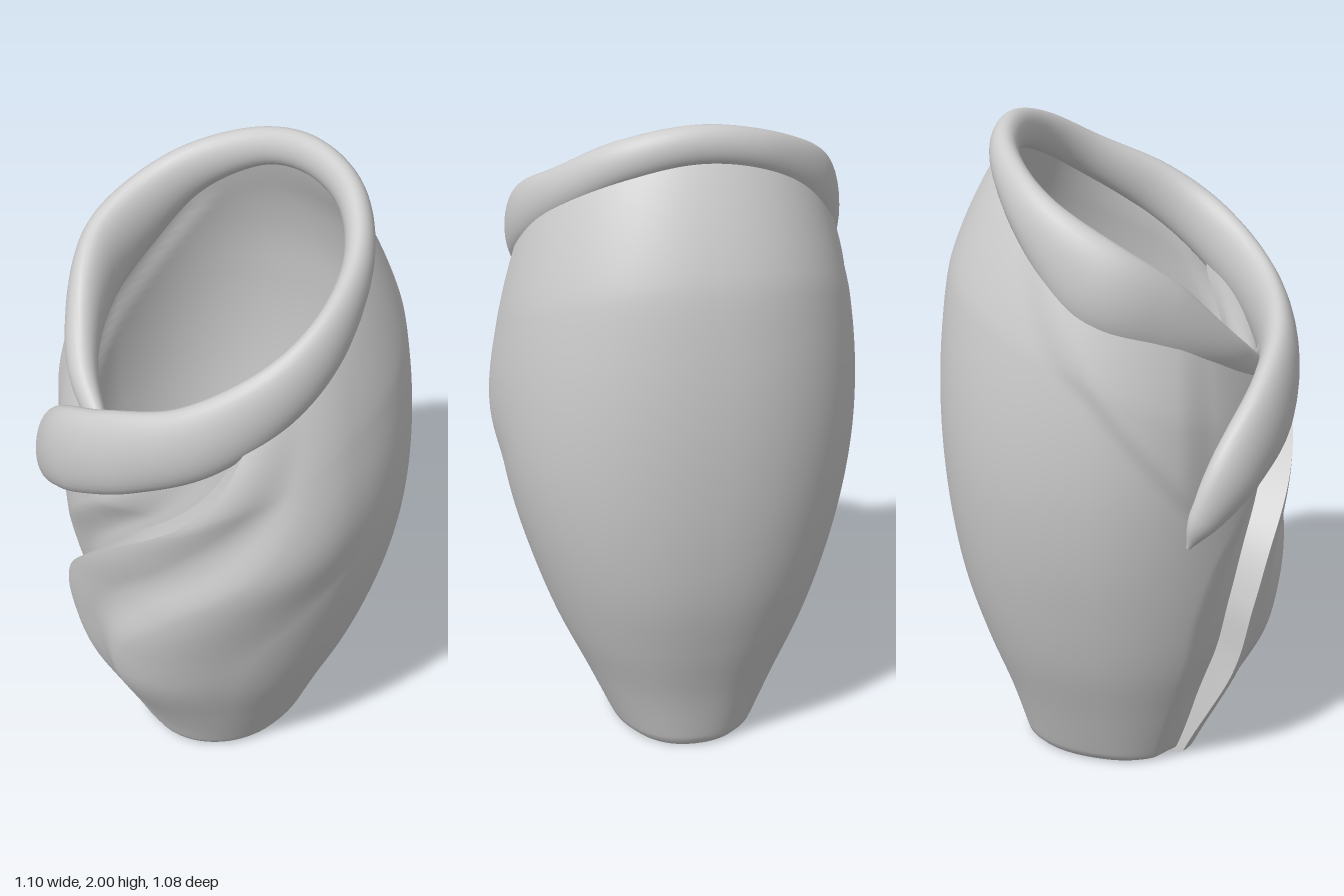
import * as THREE from 'three';
import { mergeVertices } from 'three/addons/utils/BufferGeometryUtils.js';

const TAU = Math.PI * 2;
const V = (x, y, z) => new THREE.Vector3(x, y, z);
const step = (a, b, x) => THREE.MathUtils.smoothstep(x, a, b);
const material = new THREE.MeshStandardMaterial({ color: 0xcccccc, side: THREE.DoubleSide });

// Smooth surface from a rule fn(column 0..1, row 0..1)
function grid(name, cols, rows, fn) {
  const pos = [], index = [];
  for (let i = 0; i <= rows; i++)
    for (let j = 0; j <= cols; j++) pos.push(...fn(j / cols, i / rows).toArray());
  for (let i = 0; i < rows; i++)
    for (let j = 0; j < cols; j++) {
      const a = i * (cols + 1) + j, b = a + cols + 1;
      index.push(a, a + 1, b, a + 1, b + 1, b);
    }
  let geo = new THREE.BufferGeometry();
  geo.setAttribute('position', new THREE.Float32BufferAttribute(pos, 3));
  geo.setIndex(index);
  geo = mergeVertices(geo, 1e-5);
  geo.computeVertexNormals();
  const mesh = new THREE.Mesh(geo, material);
  mesh.name = name;
  return mesh;
}

// Body half-widths (side, front, back) every 0.2 of height
const profile = new THREE.CatmullRomCurve3([
  V(.225, .25, .30), V(.31, .34, .355), V(.395, .42, .425), V(.46, .46, .485),
  V(.51, .472, .52), V(.538, .475, .538), V(.54, .47, .542), V(.52, .45, .53),
  V(.48, .42, .50), V(.42, .38, .43), V(.34, .30, .30),
], false, 'catmullrom');

// Fold lines every 0.2 of height: angle of the sharp fold, angle from it to the soft fold
const folds = new THREE.CatmullRomCurve3([
  V(-.57, .67, 0), V(-.54, .62, 0), V(-.5, .57, 0), V(-.455, .62, 0), V(-.27, .77, 0),
  V(.12, .8, 0), V(.6, .56, 0), V(.97, .36, 0), V(1.25, .25, 0), V(1.4, .2, 0), V(1.5, .2, 0),
], false, 'catmullrom');

const at = (curve, y) => curve.getPoint(THREE.MathUtils.clamp(y / 2, 0, 1));

// Slanted mouth of the vessel, dipping behind the lip at the front
function rim(a) {
  const z = .04 + .37 * Math.cos(a);
  return V(.43 * Math.sin(a), 1.7 - .72 * z - .07 * step(.7, 1, Math.cos(a)), z);
}

// Relief: crests along the sharp and soft folds, a hollow between, a valley before, a raised flap
function relief(s, a, y) {
  const q = TAU - s, w = at(folds, y).y;
  const fade = (.35 + .65 * step(0, .35, y)) * (1 - step(1.25, 1.58, y));
  const softFade = step(.08, .45, y) * (1 - step(.95, 1.4, y));
  const sharp = .045 * (1 - step(0, w * .75, s));
  const soft = .042 * softFade * step(w * .4, w * 1.02, s) * (1 - step(w * 1.02, w + .85, s));
  const valley = -.045 * (1 - step(.08, .42, q));
  const b = Math.atan2(Math.sin(a), Math.cos(a));
  const flap = b < 0 ? .016 * step(0, .1, y - (.95 + .6 * (-b - .95))) * step(.75, 1, -b) : 0;
  return fade * (sharp + valley) + soft + flap;
}

// Point on the wall; columns follow the sharp fold, so the seam of the sheet is the fold
function wall(u, t, inset, blend) {
  const s = u * TAU;
  let y = t * 1.6, a = 0;
  for (let k = 0; k < 14; k++) {
    a = s + at(folds, y).x;
    y = t * rim(a).y;
  }
  const p = at(profile, y), d = relief(s, a, y) - inset;
  // the back is slightly squarer than an ellipse
  const c = Math.cos(a), sn = Math.sin(a), e = c > 0 ? 1 : .9;
  const depth = c > 0 ? p.y : p.z;
  const point = V(
    -.015 * (1 - step(0, 1, y)) + (p.x + d) * Math.sign(sn) * Math.abs(sn) ** e,
    y,
    (depth + d) * Math.sign(c) * Math.abs(c) ** e);
  return point.lerp(rim(a), step(blend, 1, t));
}

const outer = (u, t) => wall(u, t, .012 * (1 - step(0, .012, t)), .82);
const inner = (u, t) => wall(u, 1 - t * .975, .06, .93);

// Rolled lip: centre line, with half thickness and half height of the section
const lipPath = [
  [-.04, 1.27, .43, .02, .04], [-.24, 1.40, .345, .045, .06], [-.385, 1.525, .19, .062, .115],
  [-.442, 1.63, .03, .065, .13], [-.375, 1.79, -.165, .05, .085], [-.2, 1.905, -.295, .043, .06],
  [0, 1.945, -.33, .042, .058], [.2, 1.905, -.295, .043, .06], [.35, 1.805, -.175, .043, .065],
  [.435, 1.685, .02, .045, .085], [.41, 1.56, .2, .05, .1], [.27, 1.42, .37, .055, .115],
  [.05, 1.315, .465, .06, .13], [-.16, 1.215, .475, .06, .13], [-.33, 1.08, .405, .055, .1],
  [-.41, .95, .33, .035, .055], [-.427, .86, .285, .004, .006],
];
const lipLine = new THREE.CatmullRomCurve3(lipPath.map(p => V(p[0], p[1], p[2])), false, 'catmullrom');
const lipSize = new THREE.CatmullRomCurve3(lipPath.map(p => V(p[3], p[4], 0)), false, 'catmullrom');

function lip(u, t) {
  const p = lipLine.getPoint(t), size = lipSize.getPoint(t), tangent = lipLine.getTangent(t);
  const out = V(p.x, 0, p.z);
  out.addScaledVector(tangent, -out.dot(tangent)).normalize();
  const side = tangent.clone().cross(out);
  return p.addScaledVector(out, size.x * Math.cos(u * TAU))
    .addScaledVector(side, size.y * Math.sin(u * TAU));
}

export function createModel() {
  const group = new THREE.Group();
  group.name = 'vase';
  group.add(
    grid('outerWall', 220, 100, outer),
    grid('innerWall', 220, 60, inner),
    // Overlapping edges of the wrapped sheet
    grid('outerFoldEdge', 1, 100, (u, t) => outer(1 - u, t)),
    grid('innerFoldEdge', 1, 60, (u, t) => inner(1 - u, t)),
    // Underside and inside floor
    grid('base', 220, 1, (u, t) => outer(u, 0).multiplyScalar(t)),
    grid('floor', 220, 1, (u, t) => {
      const p = inner(u, 1);
      return V(p.x * (1 - t), p.y, p.z * (1 - t));
    }),
    grid('rolledLip', 28, 240, lip),
  );
  return group;
}
